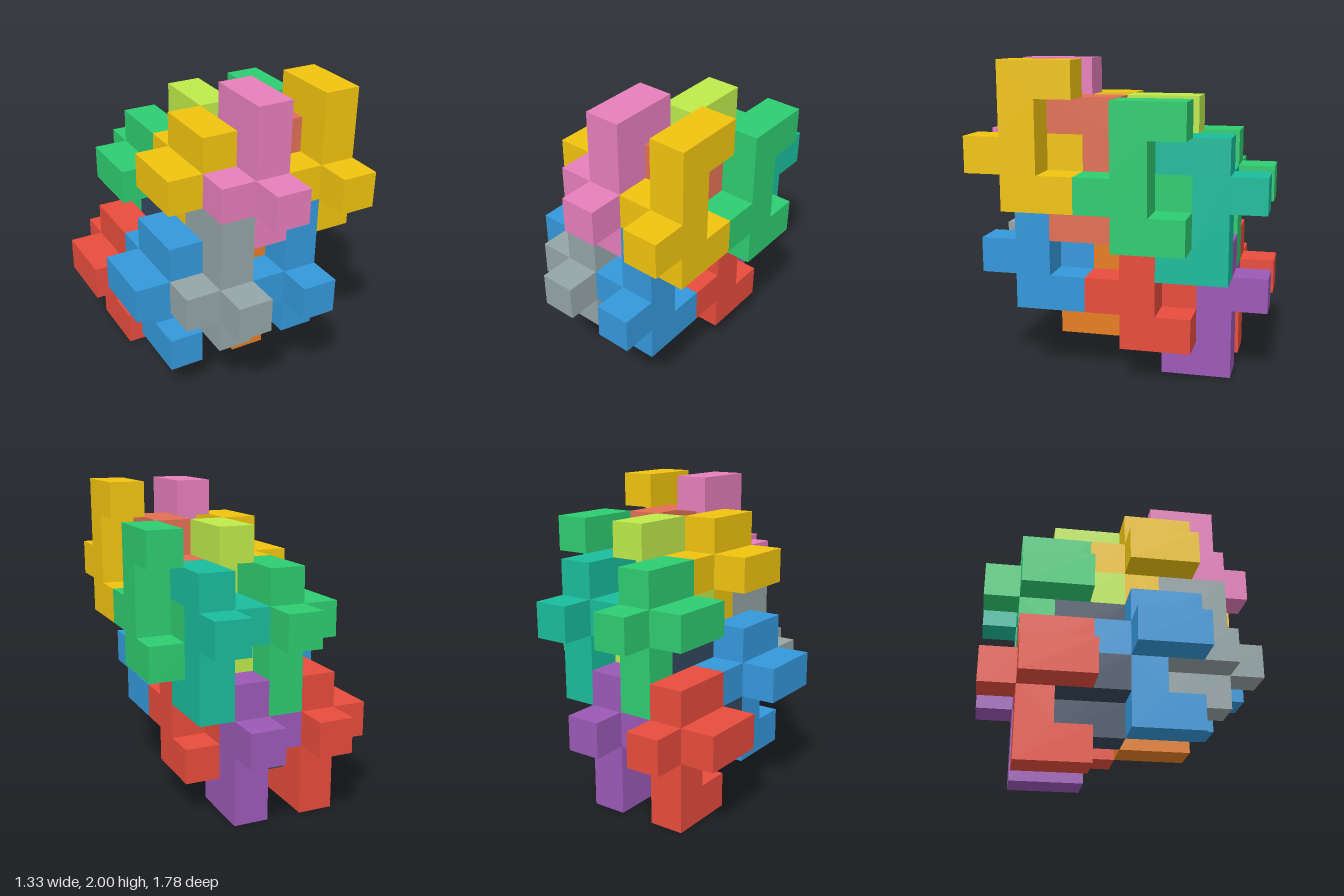
import * as THREE from 'three';
import { mergeGeometries } from 'three/addons/utils/BufferGeometryUtils.js';

const UNIT = 2 / 9; // edge of one cube cell

// One interlocking block: a C-shaped slab with a front bump, plus a two-cell side bar.
function blockGeometry() {
  const outline = [
    [-1.5, -2], [0.5, -2], [0.5, -1], [1.5, -1], [1.5, 0], [0.5, 0],
    [0.5, 2], [-1.5, 2], [-1.5, 1], [-0.5, 1], [-0.5, -1], [-1.5, -1],
  ].map(([z, y]) => new THREE.Vector2(z, y));
  const slab = new THREE.ExtrudeGeometry(new THREE.Shape(outline), { depth: 1, bevelEnabled: false });
  slab.rotateY(-Math.PI / 2).translate(0.5, 0, 0);
  const bar = new THREE.BoxGeometry(1, 1, 2).toNonIndexed();
  bar.translate(-1, -0.5, -0.5);
  return mergeGeometries([slab, bar]).scale(UNIT, UNIT, UNIT);
}

// Each layer stacks two pairs of blocks; flipped layers are turned half round about x.
// A pair lists its right and left colours; upper pairs sit one cell right and three up.
const LAYERS = [
  { name: 'front', row: 2, depth: 6, flipped: false, lower: [0x3498db, 0x95a5a6], upper: [0xf1c40f, 0xe67ebb] },
  { name: 'midFront', row: 1, depth: 4, flipped: true, lower: [0xe67e22, 0x3498db], upper: [0xe17055, 0xf1c40f] },
  { name: 'midBack', row: 1, depth: 3, flipped: false, lower: [0xe74c3c, 0x34495e], upper: [0x2ecc71, 0xbeea4a] },
  { name: 'back', row: 0, depth: 1, flipped: true, lower: [0x9b59b6, 0xe74c3c], upper: [0x1abc9c, 0x2ecc71] },
];

export function createModel() {
  const model = new THREE.Group();
  model.name = 'interlockingBlocks';
  const geometry = blockGeometry();

  for (const { name, row, depth, flipped, lower, upper } of LAYERS) {
    const layer = new THREE.Group();
    layer.name = `${name}Layer`;
    [lower, upper].forEach((colors, level) => {
      colors.forEach((color, side) => {
        const block = new THREE.Mesh(geometry, new THREE.MeshStandardMaterial({ color }));
        block.name = `${name}${level ? 'Upper' : 'Lower'}Block${side + 1}`;
        const column = (flipped ? 3 : 4) + level - 2 * side;
        block.position.set(column - 2.5, row + 3 * level + 2, depth - 3.5).multiplyScalar(UNIT);
        if (flipped) block.rotation.x = Math.PI;
        layer.add(block);
      });
    });
    model.add(layer);
  }
  return model;
}
